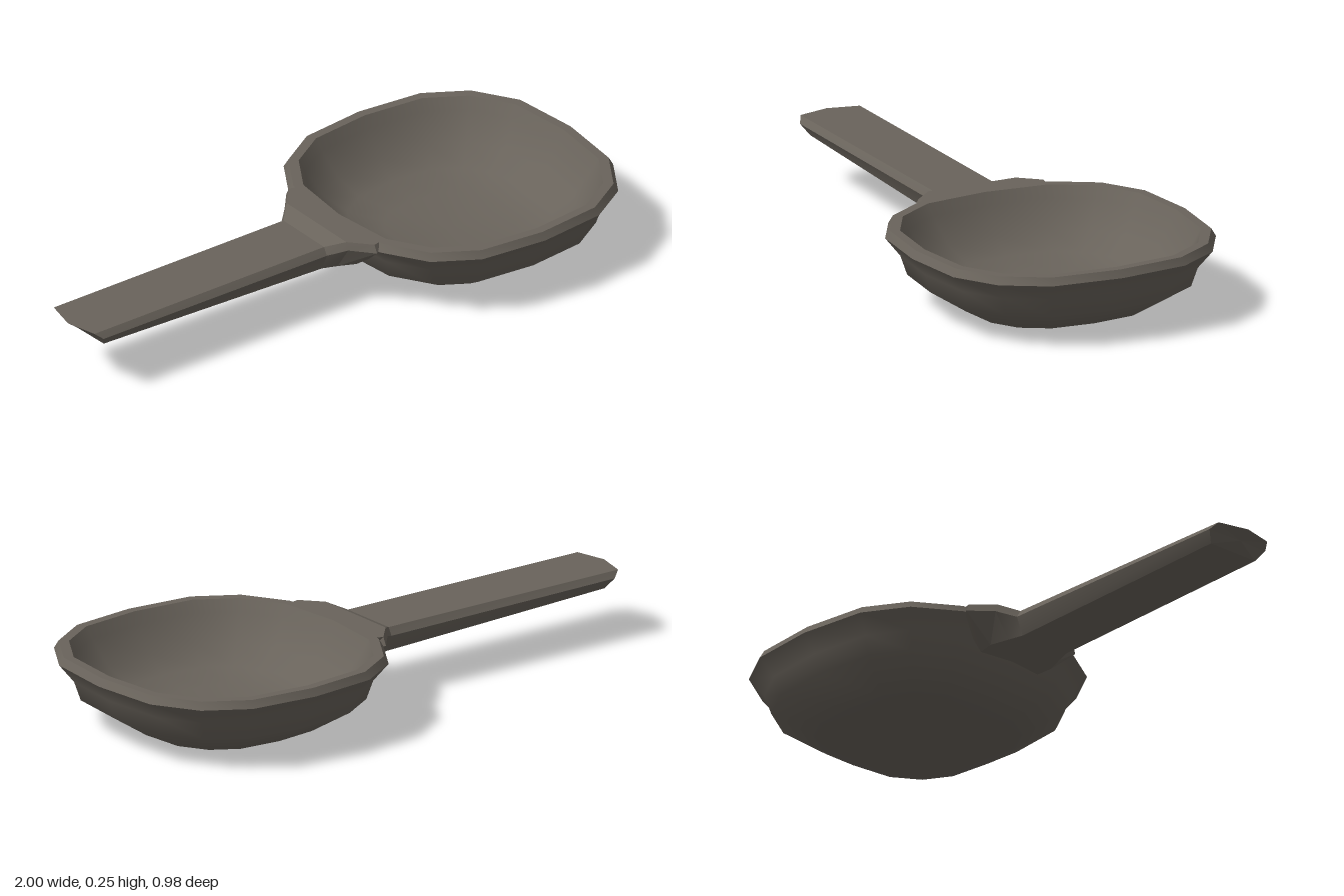
import * as THREE from 'three';
import { toCreasedNormals } from 'three/addons/utils/BufferGeometryUtils.js';

// Skin a list of closed rings, each an array of [x, y, z] points
function loft(rings, crease) {
  const n = rings[0].length;
  const index = [];
  for (let i = 0; i < rings.length - 1; i++) {
    for (let j = 0; j < n; j++) {
      const a = i * n + j, b = i * n + (j + 1) % n;
      index.push(a, b, a + n, b, b + n, a + n);
    }
  }
  const geo = new THREE.BufferGeometry();
  geo.setAttribute('position', new THREE.Float32BufferAttribute(rings.flat(2), 3));
  geo.setIndex(index);
  return toCreasedNormals(geo, crease);
}

// Sixteen-sided, slightly squared outline of the bowl rim
function bowlOutline() {
  const quarter = [[0.485, 0], [0.46, 0.235], [0.37, 0.38], [0.23, 0.465]];
  const side = [...quarter, [0, 0.49], ...quarter.slice(1).reverse().map(([x, z]) => [-x, z])];
  return [...side, [-0.485, 0], ...side.slice(1).reverse().map(([x, z]) => [x, -z])];
}

// Handle section from half: top middle, top edge, side, bottom edge, bottom middle
function section(half) {
  const [topMid, top, side, bottom, bottomMid] = half;
  const flip = ([x, y, z]) => [x, y, -z];
  return [flip(top), topMid, top, side, bottom, bottomMid, flip(bottom), flip(side)];
}

// Upright section: x, top height, top, side and bottom half widths, side and bottom heights
const upright = (x, yTop, top, side, bottom, ySide, yBottom) => section([
  [x, yTop, 0], [x, yTop, top], [x, ySide, side], [x, yBottom, bottom], [x, yBottom, 0],
]);

export function createModel() {
  const group = new THREE.Group();
  const iron = new THREE.MeshStandardMaterial({ color: 0x69635b });
  iron.name = 'dark iron';

  // Bowl: from the middle of the floor, over the rim and down to the underside
  const profile = [
    [0, 0.045], [0.4, 0.052], [0.62, 0.075], [0.76, 0.125], [0.87, 0.21], [0.91, 0.248],
    [0.972, 0.248], [1, 0.223], [0.908, 0.165], [0.867, 0.103], [0.61, 0.022], [0, 0.002],
  ];
  const outline = bowlOutline();
  const rings = profile.map(([s, y]) => outline.map(([x, z]) => [0.51 + x * s, y, z * s]));
  const bowl = new THREE.Mesh(loft(rings, 0.8), iron);
  bowl.name = 'bowl';
  group.add(bowl);

  // Handle: slanted pointed tip, then a bar that thickens towards the bowl
  const tip = section([
    [-1, 0.225, 0], [-0.975, 0.225, 0.105], [-0.95, 0.205, 0.12], [-0.93, 0.17, 0.095], [-0.93, 0.17, 0],
  ]);
  const tipCentre = tip.map(() => [-0.965, 0.198, 0]);
  const neckStart = upright(-0.07, 0.225, 0.105, 0.12, 0.095, 0.2, 0.143);
  const handle = new THREE.Mesh(loft([tipCentre, tip, neckStart], 0.3), iron);
  handle.name = 'handle';
  group.add(handle);

  // Neck: flares from the bar to the rim and runs into the bowl wall
  const neck = new THREE.Mesh(loft([
    neckStart,
    upright(-0.02, 0.248, 0.155, 0.165, 0.11, 0.222, 0.141),
    upright(0.04, 0.248, 0.222, 0.235, 0.13, 0.222, 0.137),
    section([[0.055, 0.248, 0], [0.07, 0.248, 0.215], [0.08, 0.2, 0.2], [0.11, 0.132, 0.12], [0.11, 0.132, 0]]),
  ], 0.4), iron);
  neck.name = 'neck';
  group.add(neck);

  return group;
}
